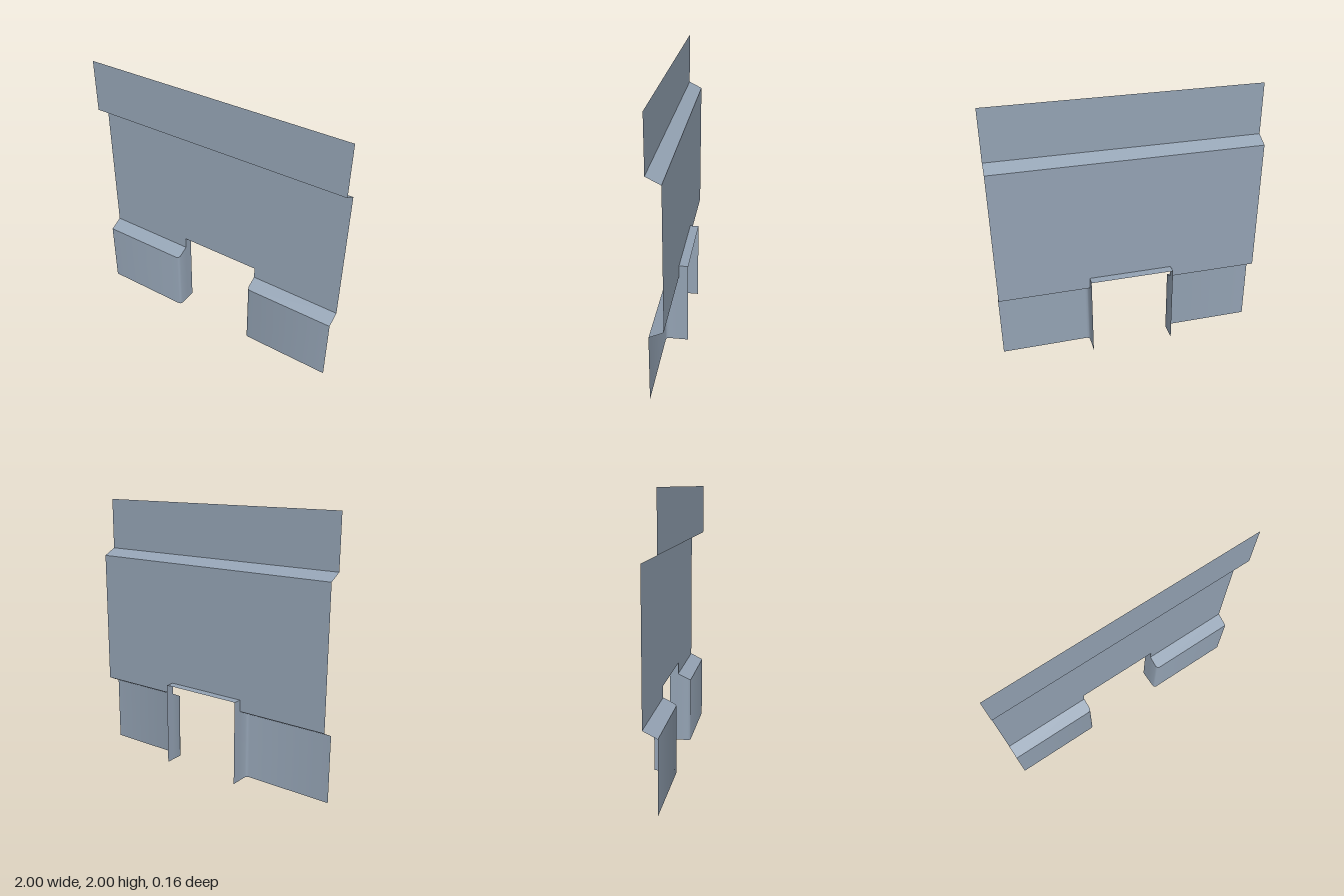
import * as THREE from 'three';

// Key depths and heights of the folded sheet
const FRONT = 0.08, WALL = -0.018, BACK = -0.084;
const LOW = 0.5, LOW_TOP = 0.548, HIGH = 1.565, HIGH_TOP = 1.615, TOP = 2;
const GAP = 0.316, GAP_TOP = 0.635, R = 0.022;

const slopeY = z => LOW + (LOW_TOP - LOW) * (FRONT - z) / (FRONT - WALL);

// Flat convex face, fanned from its first corner
function face(points) {
  const pos = [];
  for (let i = 1; i < points.length - 1; i++) pos.push(...points[0], ...points[i], ...points[i + 1]);
  const g = new THREE.BufferGeometry();
  g.setAttribute('position', new THREE.Float32BufferAttribute(pos, 3));
  g.computeVertexNormals();
  return g;
}

// Full-width band between two heights
const band = (y0, z0, y1, z1) => face([[-1, y0, z0], [1, y0, z0], [1, y1, z1], [-1, y1, z1]]);

// Rounded plan line of the lower panel, from outer edge round to the reveal
const plan = [[1, FRONT]];
for (let i = 0; i <= 2; i++) {
  const a = i * Math.PI / 4;
  plan.push([GAP + R - R * Math.sin(a), FRONT - R + R * Math.cos(a)]);
}
plan.push([GAP, WALL]);

// Lower panel wrapping smoothly into the opening
function lowerPanel(s) {
  const pos = [], nor = [], idx = [];
  const segNormal = i => {
    const [a, b] = [plan[i], plan[i + 1]];
    return new THREE.Vector2(b[1] - a[1], a[0] - b[0]).normalize();
  };
  plan.forEach(([x, z], i) => {
    const last = plan.length - 1;
    const n = segNormal(Math.max(i - 1, 0)).add(segNormal(Math.min(i, last - 1))).normalize();
    pos.push(s * x, 0, z, s * x, slopeY(z), z);
    nor.push(s * n.x, 0, n.y, s * n.x, 0, n.y);
    if (i === last) return;
    const a = 2 * i, b = a + 1, c = a + 2, d = a + 3;
    idx.push(...(s > 0 ? [c, a, b, c, b, d] : [a, c, b, b, c, d]));
  });
  const g = new THREE.BufferGeometry();
  g.setAttribute('position', new THREE.Float32BufferAttribute(pos, 3));
  g.setAttribute('normal', new THREE.Float32BufferAttribute(nor, 3));
  g.setIndex(idx);
  return g;
}

export function createModel() {
  const group = new THREE.Group();
  const steel = new THREE.MeshStandardMaterial({ color: 0x94a3b4, side: THREE.DoubleSide });
  steel.name = 'blue grey sheet';
  const add = (name, geometry) => {
    const mesh = new THREE.Mesh(geometry, steel);
    mesh.name = name;
    group.add(mesh);
  };

  // Recessed wall, notched for the opening
  const wall = new THREE.Shape([
    [-1, LOW_TOP], [-GAP, LOW_TOP], [-GAP, GAP_TOP], [GAP, GAP_TOP],
    [GAP, LOW_TOP], [1, LOW_TOP], [1, HIGH], [-1, HIGH],
  ].map(p => new THREE.Vector2(...p)));
  add('recessedWall', new THREE.ShapeGeometry(wall).translate(0, 0, WALL));

  // Upper overhang and parapet band
  add('overhang', band(HIGH, WALL, HIGH_TOP, FRONT));
  add('upperBand', band(HIGH_TOP, FRONT, TOP, FRONT));

  // Lower panels, sloping ledges and reveals on both sides
  for (const s of [1, -1]) {
    const side = s > 0 ? 'left' : 'right';
    add(side + 'LowerPanel', lowerPanel(s));
    const ledge = [...plan, [1, WALL]].map(([x, z]) => [s * x, slopeY(z), z]);
    add(side + 'Ledge', face(s > 0 ? ledge.reverse() : ledge));
    const x = s * GAP;
    const reveal = [[x, 0, WALL], [x, GAP_TOP, WALL], [x, GAP_TOP, BACK], [x, 0, BACK]];
    add(side + 'Reveal', face(s > 0 ? reveal.reverse() : reveal));
  }

  // Underside of the opening
  add('lintel', face([[-GAP, GAP_TOP, BACK], [GAP, GAP_TOP, BACK], [GAP, GAP_TOP, WALL], [-GAP, GAP_TOP, WALL]]));
  return group;
}
